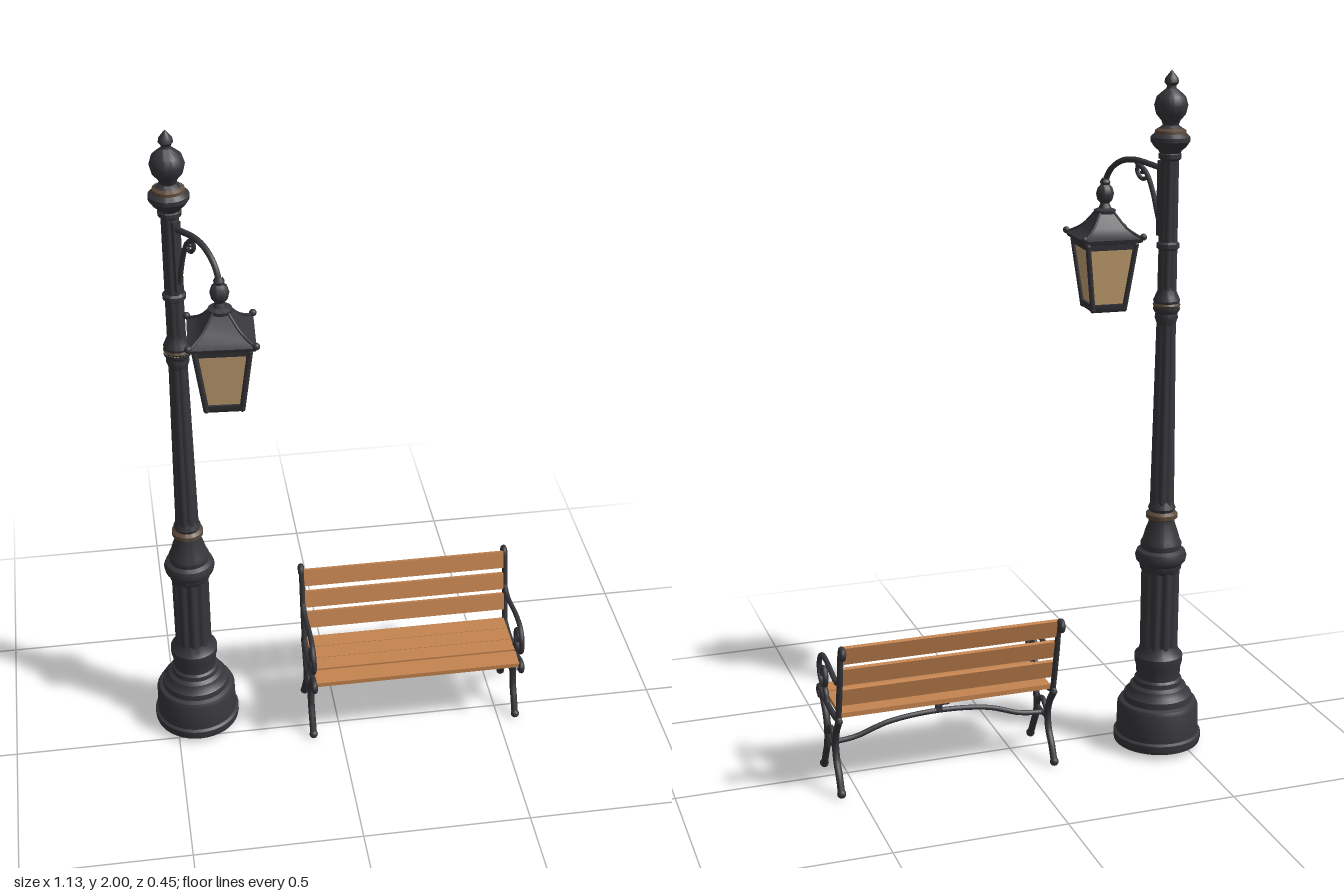
import * as THREE from 'three';
import { toCreasedNormals } from 'three/addons/utils/BufferGeometryUtils.js';

const mat = (name, color) => {
  const m = new THREE.MeshStandardMaterial({ color });
  m.name = name;
  return m;
};

export function createModel() {
  const iron = mat('dark iron', 0x37373c);
  const bronze = mat('worn bronze', 0x5c4a3a);
  const wood = mat('warm wood', 0xc58450);
  const glass = mat('amber glass', 0xcba676);

  const add = (parent, name, geo, material, x = 0, y = 0, z = 0) => {
    const mesh = new THREE.Mesh(geo, material);
    mesh.name = name;
    mesh.position.set(x, y, z);
    parent.add(mesh);
    return mesh;
  };
  const group = (parent, name, x = 0, y = 0, z = 0) => {
    const g = new THREE.Group();
    g.name = name;
    g.position.set(x, y, z);
    parent.add(g);
    return g;
  };
  const lathe = (pts, sides = 40, start = 0) => toCreasedNormals(
    new THREE.LatheGeometry(pts.map(([r, y]) => new THREE.Vector2(r, y)), sides, start), 0.6);
  const ball = (parent, name, r, x, y, z) =>
    add(parent, name, new THREE.SphereGeometry(r, 14, 10), iron, x, y, z);
  // Round bar through a list of [x, y, z] points, with rounded ends
  const bar = (parent, name, pts, r, segs = 32) => {
    const v = pts.map(p => new THREE.Vector3(...p));
    add(parent, name, new THREE.TubeGeometry(new THREE.CatmullRomCurve3(v), segs, r, 8), iron);
    for (const p of [v[0], v[v.length - 1]]) ball(parent, name + 'End', r * 1.05, p.x, p.y, p.z);
  };
  // Column whose radius ripples to form flutes
  const fluted = (rTop, rBottom, h, count, depth) => {
    const geo = new THREE.CylinderGeometry(rTop, rBottom, h, count * 6, 1, true);
    const p = geo.attributes.position;
    for (let i = 0; i < p.count; i++) {
      const a = Math.atan2(p.getZ(i), p.getX(i));
      const k = 1 - depth * Math.pow(0.5 + 0.5 * Math.cos(a * count), 2);
      p.setX(i, p.getX(i) * k);
      p.setZ(i, p.getZ(i) * k);
    }
    geo.computeVertexNormals();
    return geo;
  };

  const model = new THREE.Group();
  model.name = 'streetLampAndBench';

  // Lamp post
  const lamp = group(model, 'lampPost', -0.434, 0, -0.097);
  add(lamp, 'base', lathe([[0, 0.016], [0.128, 0.016], [0.13, 0.025], [0.13, 0.042], [0.122, 0.047],
    [0.12, 0.13], [0.114, 0.142], [0.102, 0.147], [0.1, 0.165], [0.088, 0.175], [0.083, 0.19],
    [0.072, 0.198], [0.07, 0.212], [0.064, 0.218], [0.066, 0.25], [0.071, 0.27], [0.071, 0.288],
    [0.06, 0.3], [0.054, 0.32]]), iron);
  add(lamp, 'flutedPedestal', fluted(0.056, 0.056, 0.26, 10, 0.15), iron, 0, 0.44, 0);
  add(lamp, 'pedestalCap', lathe([[0.052, 0.55], [0.06, 0.56], [0.062, 0.575], [0.072, 0.585],
    [0.075, 0.6], [0.07, 0.615], [0.058, 0.622], [0.06, 0.638], [0.054, 0.65], [0.047, 0.675],
    [0.038, 0.7], [0.037, 0.712]]), iron);
  add(lamp, 'lowerRing', lathe([[0.037, 0.71], [0.046, 0.716], [0.046, 0.728], [0.036, 0.736]]), bronze);
  add(lamp, 'shaftFoot', lathe([[0.036, 0.735], [0.04, 0.745], [0.034, 0.76], [0.03, 0.77]]), iron);
  add(lamp, 'flutedShaft', fluted(0.027, 0.035, 0.57, 8, 0.12), iron, 0, 1.04, 0);
  add(lamp, 'middleCollar', lathe([[0.026, 1.29], [0.033, 1.31], [0.031, 1.322], [0.038, 1.333],
    [0.038, 1.342]]), iron);
  add(lamp, 'middleRing', lathe([[0.036, 1.341], [0.039, 1.347], [0.036, 1.353]]), bronze);
  add(lamp, 'middleCollarTop', lathe([[0.036, 1.352], [0.038, 1.36], [0.033, 1.372], [0.027, 1.385],
    [0.025, 1.4]]), iron);
  add(lamp, 'upperShaft', fluted(0.025, 0.027, 0.39, 8, 0.1), iron, 0, 1.585, 0);
  for (const y of [1.515, 1.765]) add(lamp, 'shaftBand',
    lathe([[0.025, y - 0.012], [0.032, y - 0.006], [0.032, y + 0.006], [0.025, y + 0.012]]), iron);
  add(lamp, 'crown', lathe([[0.026, 1.765], [0.032, 1.78], [0.044, 1.79], [0.055, 1.806],
    [0.055, 1.818], [0.044, 1.828]]), iron);
  add(lamp, 'crownRing', lathe([[0.044, 1.827], [0.043, 1.836], [0.034, 1.842]]), bronze);
  add(lamp, 'finial', lathe([[0.034, 1.841], [0.022, 1.85], [0.026, 1.862], [0.041, 1.88],
    [0.047, 1.905], [0.04, 1.928], [0.024, 1.942], [0.014, 1.95], [0.013, 1.957], [0.02, 1.966],
    [0.018, 1.977], [0.008, 1.99], [0, 2]]), iron);

  // Bracket: its local z runs outward from the post
  const reach = 0.239;
  const bracket = group(lamp, 'bracket');
  bracket.rotation.y = Math.atan2(0.106, 0.214);
  bar(bracket, 'swanNeck', [[0, 1.725, 0.02], [0, 1.735, 0.07], [0, 1.742, 0.13], [0, 1.735, 0.175],
    [0, 1.71, 0.215], [0, 1.675, reach - 0.003], [0, 1.65, reach]], 0.0085);
  bar(bracket, 'brace', [[0, 1.55, 0.025], [0, 1.6, 0.042], [0, 1.66, 0.06], [0, 1.71, 0.085],
    [0, 1.735, 0.12]], 0.007);
  bar(bracket, 'scroll', [[0, 1.735, 0.115], [0, 1.71, 0.118], [0, 1.692, 0.102], [0, 1.697, 0.083],
    [0, 1.713, 0.086], [0, 1.71, 0.1]], 0.006);
  add(bracket, 'wallPlate', new THREE.BoxGeometry(0.022, 0.21, 0.012), iron, 0, 1.645, 0.03);

  // Lantern: square lathes turned so that their sides face front
  const lantern = group(model, 'lantern', -0.328, 0, 0.117);
  lantern.rotation.y = -0.06;
  const q = Math.SQRT2;
  const square = pts => lathe(pts.map(([w, y]) => [w * q, y]), 4, Math.PI / 4);
  add(lantern, 'glassPanes', square([[0.046, 1.312], [0.07, 1.495]]), glass);
  add(lantern, 'bottomTray', square([[0, 1.296], [0.046, 1.296], [0.051, 1.302], [0.053, 1.32],
    [0.044, 1.32]]), iron);
  add(lantern, 'topFrame', square([[0.066, 1.482], [0.073, 1.482], [0.076, 1.5], [0.086, 1.503],
    [0.089, 1.513], [0.07, 1.522], [0.05, 1.54], [0.022, 1.582], [0, 1.584]]), iron);
  for (const sx of [-1, 1]) for (const sz of [-1, 1]) {
    bar(lantern, 'cornerBar', [[sx * 0.048, 1.305, sz * 0.048], [sx * 0.072, 1.495, sz * 0.072]], 0.008, 2);
    bar(lantern, 'roofRib', [[sx * 0.022, 1.58, sz * 0.022], [sx * 0.05, 1.54, sz * 0.05],
      [sx * 0.088, 1.513, sz * 0.088]], 0.004, 8);
    ball(lantern, 'cornerKnob', 0.01, sx * 0.088, 1.519, sz * 0.088);
  }
  add(lantern, 'lanternNeck', lathe([[0.03, 1.578], [0.032, 1.588], [0.018, 1.594], [0.013, 1.607],
    [0.022, 1.618], [0.026, 1.635], [0.021, 1.652], [0.013, 1.66], [0.015, 1.668], [0.009, 1.68]], 24), iron);

  // Bench
  const bench = group(model, 'bench', 0.2335, 0, 0);
  const half = 0.32;

  // Cast end frames, drawn in the y-z plane
  for (const s of [-1, 1]) {
    const frame = group(bench, s > 0 ? 'leftEndFrame' : 'rightEndFrame', s * half, 0, 0);
    const rod = (name, pts, r = 0.009) => bar(frame, name, pts.map(([z, y]) => [0, y, z]), r, 40);
    rod('frontLeg', [[0.057, 0.014], [0.035, 0.055], [0.01, 0.1], [0.005, 0.15], [0.02, 0.19], [0.05, 0.225]], 0.0105);
    rod('backLeg', [[-0.148, 0.014], [-0.128, 0.055], [-0.1, 0.095], [-0.09, 0.14], [-0.105, 0.185], [-0.14, 0.23]], 0.0105);
    rod('legArch', [[0.006, 0.125], [-0.02, 0.16], [-0.045, 0.17], [-0.07, 0.158], [-0.092, 0.12]], 0.008);
    rod('seatRail', [[0.085, 0.218], [0.098, 0.222], [0.1, 0.238], [0.085, 0.246], [0.05, 0.234],
      [-0.02, 0.226], [-0.09, 0.226], [-0.14, 0.235]]);
    rod('backUpright', [[-0.13, 0.222], [-0.147, 0.29], [-0.165, 0.37], [-0.178, 0.44], [-0.19, 0.468],
      [-0.205, 0.47], [-0.212, 0.456], [-0.203, 0.447]]);
    rod('armrest', [[-0.16, 0.355], [-0.12, 0.342], [-0.07, 0.348], [0, 0.36], [0.055, 0.355], [0.085, 0.327],
      [0.085, 0.29], [0.06, 0.268], [0.025, 0.272], [0.008, 0.298], [0.022, 0.323], [0.046, 0.318],
      [0.045, 0.3]], 0.008);
    rod('armSupport', [[0.03, 0.27], [0.01, 0.255], [0, 0.232]], 0.008);
    for (const z of [0.06, -0.15]) ball(frame, 'foot', 0.013, 0, 0.013, z);
  }

  // Seat slats: [centre z, depth]
  for (const [z, d] of [[-0.103, 0.052], [-0.049, 0.053], [0.004, 0.05], [0.066, 0.06]])
    add(bench, 'seatSlat', new THREE.BoxGeometry(half * 2 - 0.012, 0.014, d), wood, 0, 0.243, z);
  // Leaning back slats: [y, z]
  for (const [y, z] of [[0.306, -0.143], [0.374, -0.16], [0.444, -0.178]])
    add(bench, 'backSlat', new THREE.BoxGeometry(half * 2 - 0.012, 0.054, 0.012), wood, 0, y, z).rotation.x = -0.24;

  // Arched stretcher with its centre strut
  bar(bench, 'stretcher', [[-half, 0.125, -0.045], [-0.25, 0.133, -0.045], [-0.15, 0.165, -0.045],
    [0, 0.178, -0.045], [0.15, 0.165, -0.045], [0.25, 0.133, -0.045], [half, 0.125, -0.045]], 0.008);
  for (const s of [-1, 1])
    bar(bench, 'stretcherMount', [[s * half, 0.13, 0.005], [s * half, 0.125, -0.045], [s * half, 0.13, -0.092]], 0.007, 8);
  add(bench, 'centreStrut', new THREE.BoxGeometry(0.018, 0.06, 0.018), iron, 0, 0.208, -0.045);
  add(bench, 'underSeatBrace', new THREE.BoxGeometry(0.02, 0.008, 0.2), iron, 0, 0.232, -0.02);

  return model;
}
